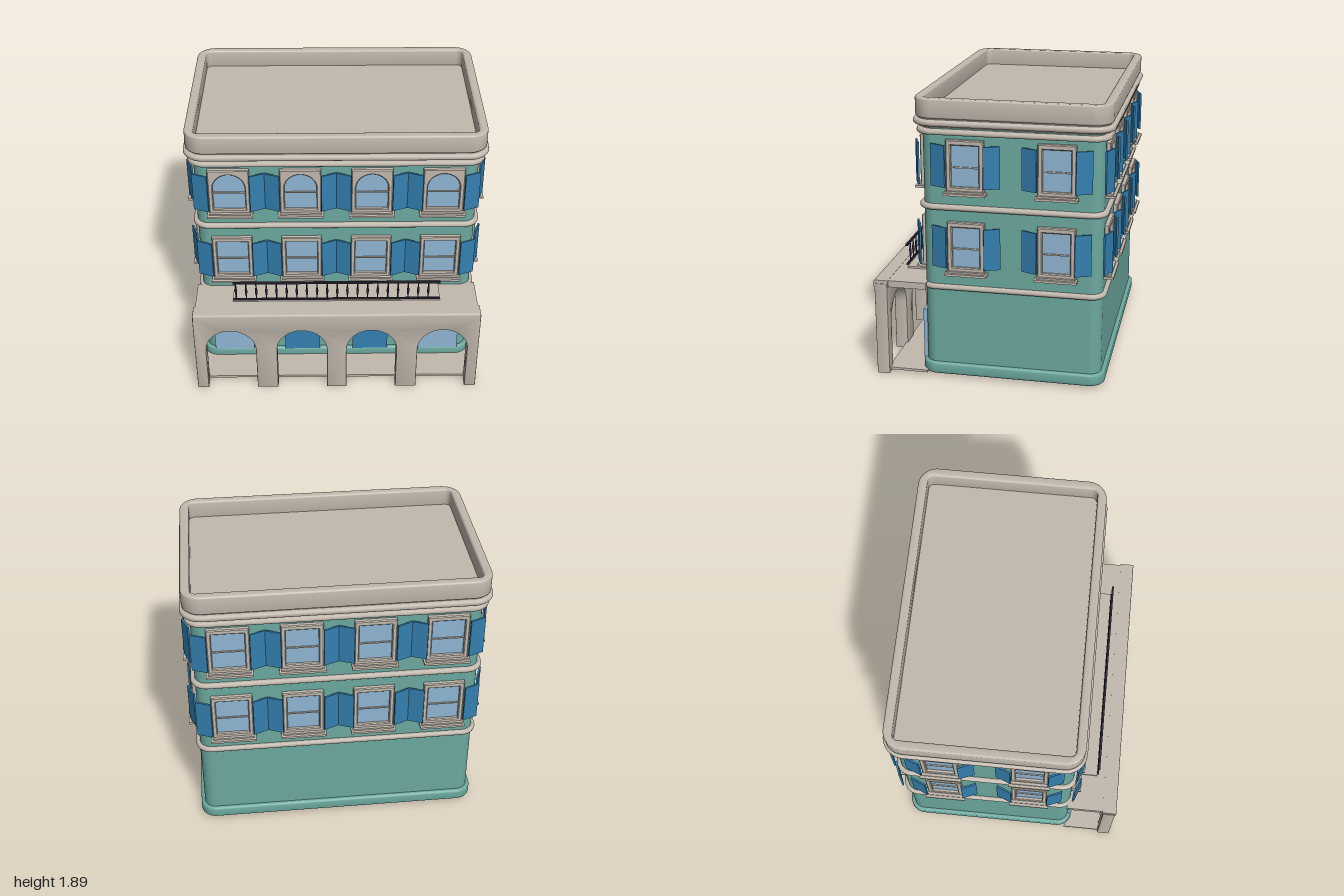
import * as THREE from 'three';
import { toCreasedNormals } from 'three/addons/utils/BufferGeometryUtils.js';

const mat = (name, color) => Object.assign(new THREE.MeshStandardMaterial({ color }), { name });

export function createModel() {
  const model = new THREE.Group();
  model.name = 'building';
  const teal = mat('teal wall', 0x6ca99f);
  const stone = mat('pale stone', 0xc2b9ae);
  const blue = mat('blue paint', 0x3480b0);
  const glass = mat('window glass', 0x8fb6d3);
  const iron = mat('dark iron', 0x2a2535);

  const CZ = -0.135, HX = 0.935, HZ = 0.585; // main block centre and half sizes

  function add(parent, name, geo, material, x = 0, y = 0, z = 0) {
    const m = new THREE.Mesh(geo, material);
    m.name = name;
    m.position.set(x, y, z);
    parent.add(m);
    return m;
  }
  const box = (parent, name, material, w, h, d, x, y, z) =>
    add(parent, name, new THREE.BoxGeometry(w, h, d), material, x, y, z);

  // Extrusion whose bevel stays inside the drawn outline
  function extrude(shape, depth, bevel = 0, segments = 3) {
    const g = new THREE.ExtrudeGeometry(shape, {
      depth: depth - 2 * bevel, bevelEnabled: bevel > 0, bevelSize: bevel, bevelThickness: bevel,
      bevelOffset: -bevel, bevelSegments: segments, curveSegments: 10,
    });
    g.translate(0, 0, bevel);
    return toCreasedNormals(g, 0.65);
  }

  function roundedRect(path, hx, hz, r) {
    path.moveTo(hx, -hz + r);
    path.absarc(hx - r, hz - r, r, 0, Math.PI / 2);
    path.absarc(-hx + r, hz - r, r, Math.PI / 2, Math.PI);
    path.absarc(-hx + r, -hz + r, r, Math.PI, Math.PI * 1.5);
    path.absarc(hx - r, -hz + r, r, Math.PI * 1.5, Math.PI * 2);
    return path;
  }

  // Rounded layer of the main block, standing out by "out"
  function layer(name, material, out, y0, y1, bevel = 0, hole = 0) {
    const shape = roundedRect(new THREE.Shape(), HX + out, HZ + out, 0.08 + out);
    if (hole) shape.holes.push(roundedRect(new THREE.Path(), HX + out - hole, HZ + out - hole, 0.04));
    const g = extrude(shape, y1 - y0, bevel);
    g.rotateX(-Math.PI / 2);
    add(model, name, g, material, 0, y0, CZ);
  }

  // Main block, mouldings and roof
  layer('walls', teal, 0, 0.03, 1.73);
  layer('plinth', teal, 0.025, 0.02, 0.1, 0.015);
  layer('groundFloorBand', stone, 0.025, 0.62, 0.655, 0.014);
  layer('middleBand', stone, 0.028, 1.163, 1.2, 0.016);
  layer('lowerCornice', stone, 0.038, 1.657, 1.692, 0.014);
  layer('corniceNeck', stone, 0.03, 1.705, 1.772);
  layer('upperCornice', stone, 0.06, 1.715, 1.755, 0.016);
  layer('parapet', stone, 0.045, 1.762, 1.89, 0.012, 0.06);

  // Window opening, square or arched
  function opening(w, arched) {
    const p = new THREE.Path(), h = w / 2, y0 = 0.03, y1 = 0.3;
    p.moveTo(-h, y0);
    p.lineTo(h, y0);
    if (arched) {
      p.lineTo(h, y1 - h);
      p.absarc(0, y1 - h, h, 0, Math.PI);
    } else {
      p.lineTo(h, y1);
      p.lineTo(-h, y1);
    }
    p.closePath();
    return p;
  }

  // Window with frame, glass, sill and two slanting shutters, facing +z
  function windowUnit(w, inner, arched) {
    const g = new THREE.Group();
    g.name = 'window';
    const H = 0.335;
    const s = new THREE.Shape();
    s.moveTo(-w / 2, 0);
    s.lineTo(w / 2, 0);
    s.lineTo(w / 2, H);
    s.lineTo(-w / 2, H);
    s.closePath();
    s.holes.push(opening(inner, arched));
    add(g, 'windowFrame', extrude(s, 0.035, 0.006, 1), stone, 0, 0, -0.005);
    box(g, 'pane', glass, w - 0.02, H - 0.02, 0.008, 0, H / 2, 0.004);
    box(g, 'sashBar', stone, inner, 0.009, 0.012, 0, 0.155, 0.01);
    box(g, 'sill', stone, w + 0.03, 0.015, 0.066, 0, -0.0125, 0.033);
    box(g, 'sillStep', stone, w + 0.005, 0.012, 0.048, 0, 0, 0.024);
    const run = 0.1, zIn = 0.052, zOut = 0.012;
    for (const side of [-1, 1]) {
      const shutter = box(g, 'shutter', blue, Math.hypot(run, zIn - zOut), 0.275, 0.012,
        side * (w / 2 + run / 2), 0.167, (zIn + zOut) / 2);
      shutter.rotation.y = side * Math.atan2(zIn - zOut, run);
    }
    return g;
  }

  // Two floors of windows on all four walls
  [0.755, 1.295].forEach((y, floor) => {
    const place = (unit, x, z, angle) => {
      unit.position.set(x, y, z);
      unit.rotation.y = angle;
      model.add(unit);
    };
    for (const x of [-0.705, -0.235, 0.235, 0.705]) {
      place(windowUnit(0.273, 0.212, floor === 1), x, CZ + HZ, 0);
      place(windowUnit(0.273, 0.212, false), x, CZ - HZ, Math.PI);
    }
    for (const z of [0.157, -0.43]) {
      for (const side of [-1, 1]) place(windowUnit(0.245, 0.18, false), side * HX, z, side * Math.PI / 2);
    }
  });

  // Ground floor doors and shop windows
  for (const s of [-1, 1]) {
    box(model, 'door', blue, 0.25, 0.345, 0.035, s * 0.243, 0.267, 0.458);
    box(model, 'shopWindow', glass, 0.28, 0.345, 0.035, s * 0.732, 0.267, 0.458);
  }

  // Arcade wall
  const arches = [-0.73, -0.24, 0.24, 0.73], r = 0.172, spring = 0.345;
  const arcade = new THREE.Shape();
  arcade.moveTo(-0.98, 0);
  for (const c of arches) {
    arcade.lineTo(c - r, 0);
    arcade.lineTo(c - r, spring);
    arcade.absarc(c, spring, r, Math.PI, 0, true);
    arcade.lineTo(c + r, 0);
  }
  arcade.lineTo(0.98, 0);
  arcade.lineTo(0.98, 0.64);
  arcade.lineTo(-0.98, 0.64);
  arcade.closePath();
  add(model, 'arcade', extrude(arcade, 0.088, 0.008, 2), stone, 0, 0, 0.688);

  // Porch roof, its front lip, balcony floor and paving
  box(model, 'porchRoof', stone, 1.93, 0.045, 0.33, 0, 0.6375, 0.595);
  const lip = new THREE.Shape();
  lip.moveTo(0.685, 0.617);
  lip.lineTo(0.783, 0.617);
  lip.lineTo(0.783, 0.645);
  lip.quadraticCurveTo(0.783, 0.662, 0.768, 0.662);
  lip.lineTo(0.685, 0.662);
  lip.closePath();
  const lipGeo = extrude(lip, 1.95);
  lipGeo.rotateY(-Math.PI / 2);
  add(model, 'porchLip', lipGeo, stone, 0.975, 0, 0);
  box(model, 'balconyFloor', stone, 1.42, 0.014, 0.185, 0, 0.666, 0.5325);
  box(model, 'porchFloor', stone, 1.93, 0.016, 0.27, 0, 0.032, 0.565);

  // Small lamps under the porch roof
  for (const x of arches) {
    add(model, 'porchLamp', new THREE.CylinderGeometry(0.019, 0.012, 0.03, 12), stone, x, 0.601, 0.595);
  }

  // Balcony railing with turned balusters
  box(model, 'topRail', iron, 1.41, 0.014, 0.014, 0, 0.823, 0.63);
  box(model, 'bottomRail', iron, 1.41, 0.012, 0.012, 0, 0.684, 0.63);
  const profile = [[0.004, 0], [0.004, 0.03], [0.007, 0.05], [0.009, 0.075], [0.005, 0.1], [0.004, 0.14]]
    .map(([x, y]) => new THREE.Vector2(x, y));
  const baluster = new THREE.LatheGeometry(profile, 8);
  for (let i = 0; i < 20; i++) add(model, 'baluster', baluster, iron, -0.685 + i * 0.069, 0.682, 0.63);

  return model;
}
